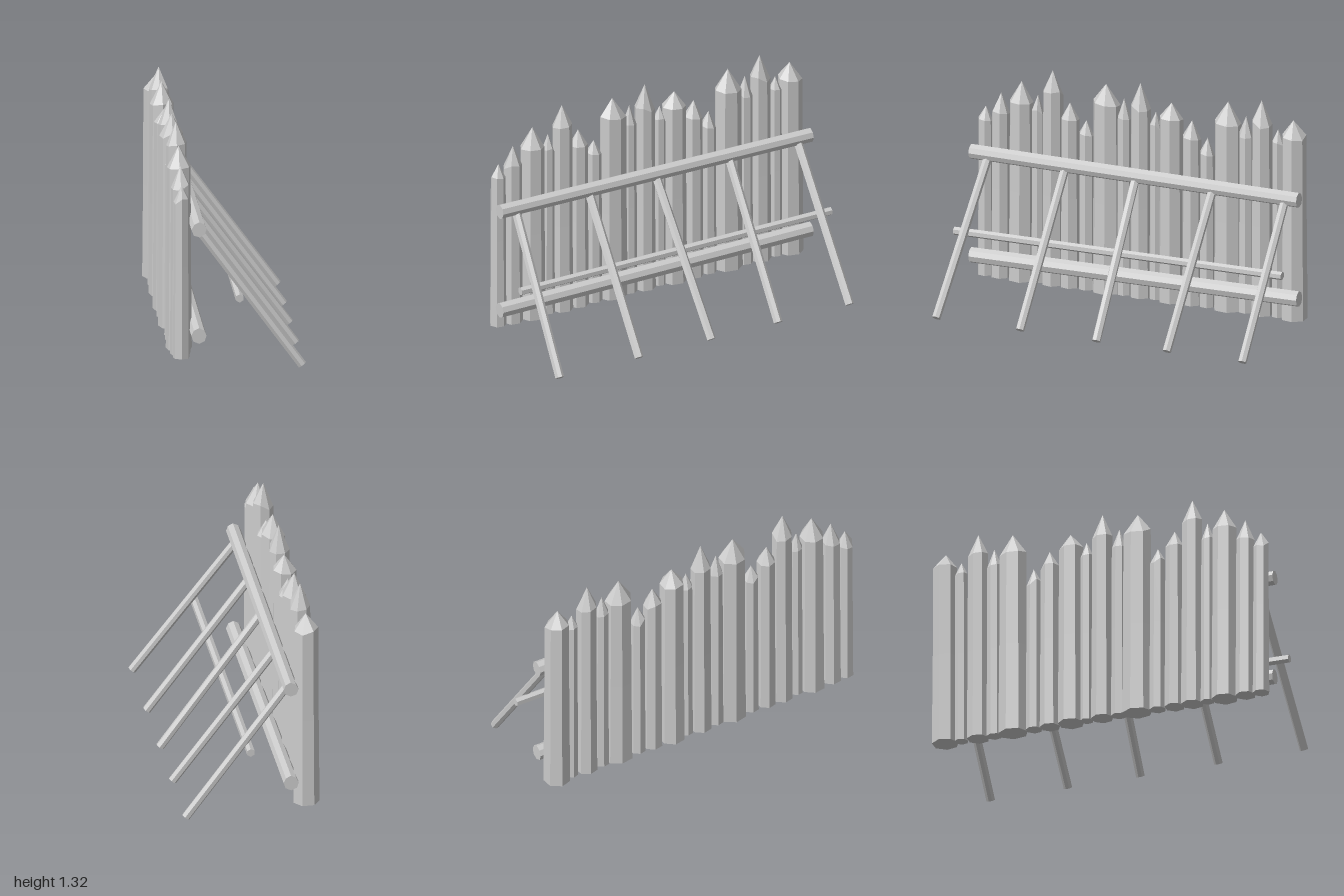
import * as THREE from 'three';

const material = new THREE.MeshStandardMaterial({ color: 0xcccccc, flatShading: true });

// Repeatable irregularity in the range -1..1
const wobble = (a, b) => Math.sin(a * 12.9 + b * 7.3 + 1.7);

// Sharpened upright log: a lathe with uneven sides and an uneven shoulder
function makeStake(index, z, radius, shoulder, tip) {
  const bottom = 0.075, sides = 7;
  const profile = [
    [0, bottom], [radius * 1.1, bottom], [radius * 1.03, 0.6],
    [radius, shoulder], [0, tip],
  ].map(([r, y]) => new THREE.Vector2(r, y));
  const geometry = new THREE.LatheGeometry(profile, sides, index * 0.9);
  const p = geometry.attributes.position;
  for (let i = 0; i < p.count; i++) {
    const row = i % profile.length;
    const side = Math.floor(i / profile.length) % sides;
    const k = 1 + 0.05 * wobble(index, side);
    const depth = Math.min(1, 0.068 / radius);
    p.setX(i, p.getX(i) * k * depth);
    p.setZ(i, p.getZ(i) * k);
    if (row === 3) p.setY(i, p.getY(i) + 0.02 * wobble(side, index));
  }
  geometry.computeVertexNormals();
  const mesh = new THREE.Mesh(geometry, material);
  mesh.position.set(-0.31, 0, z);
  mesh.name = 'stake';
  return mesh;
}

// Rough pole running between two points
function makePole(name, from, to, radius, sides, seed) {
  const a = new THREE.Vector3(...from), b = new THREE.Vector3(...to);
  const dir = b.clone().sub(a);
  const geometry = new THREE.CylinderGeometry(radius, radius, dir.length(), sides);
  const p = geometry.attributes.position;
  for (let i = 0; i < p.count; i++) {
    const x = p.getX(i), z = p.getZ(i);
    const side = Math.round((Math.atan2(x, z) / (2 * Math.PI)) * sides + sides) % sides;
    const k = 1 + 0.08 * wobble(seed, side);
    p.setX(i, x * k);
    p.setZ(i, z * k);
  }
  geometry.computeVertexNormals();
  const mesh = new THREE.Mesh(geometry, material);
  mesh.position.copy(a).add(b).multiplyScalar(0.5);
  mesh.quaternion.setFromUnitVectors(new THREE.Vector3(0, 1, 0), dir.normalize());
  mesh.name = name;
  return mesh;
}

export function createModel() {
  const model = new THREE.Group();
  model.name = 'palisade';

  // Log kinds: radius, shoulder height, tip height
  const kinds = {
    a: [0.043, 0.97, 1.06],
    b: [0.053, 1.04, 1.15],
    c: [0.069, 1.13, 1.235],
    d: [0.036, 1.08, 1.17],
    e: [0.058, 1.19, 1.325],
    f: [0.079, 1.18, 1.29],
    g: [0.041, 1.12, 1.22],
  };

  // Wall of stakes, from +z to -z
  const wall = new THREE.Group();
  wall.name = 'stakeWall';
  const order = 'abcdebafgedcbafgedc';
  const positions = [0.953, 0.86, 0.735, 0.635, 0.545, 0.44, 0.34, 0.22, 0.11, 0.01,
    -0.085, -0.18, -0.305, -0.4, -0.525, -0.635, -0.73, -0.83, -0.923];
  positions.forEach((z, i) => wall.add(makeStake(i, z, ...kinds[order[i]])));
  model.add(wall);

  // Horizontal rails
  model.add(
    makePole('upperRail', [-0.213, 0.815, 1], [-0.213, 0.805, -1], 0.042, 8, 2),
    makePole('lowerRail', [-0.215, 0.21, 1], [-0.215, 0.228, -1], 0.044, 8, 5),
    makePole('braceRail', [0.012, 0.42, 1], [0.012, 0.432, -1], 0.024, 6, 7),
  );

  // Slanted braces: z at the top and at the foot
  const braces = new THREE.Group();
  braces.name = 'braces';
  [[0.895, 0.95], [0.425, 0.44], [-0.005, -0.025], [-0.475, -0.455], [-0.915, -0.915]]
    .forEach(([top, foot], i) =>
      braces.add(makePole('brace', [-0.205, 0.785, top], [0.363, 0.02, foot], 0.025, 7, i)));
  model.add(braces);

  return model;
}
